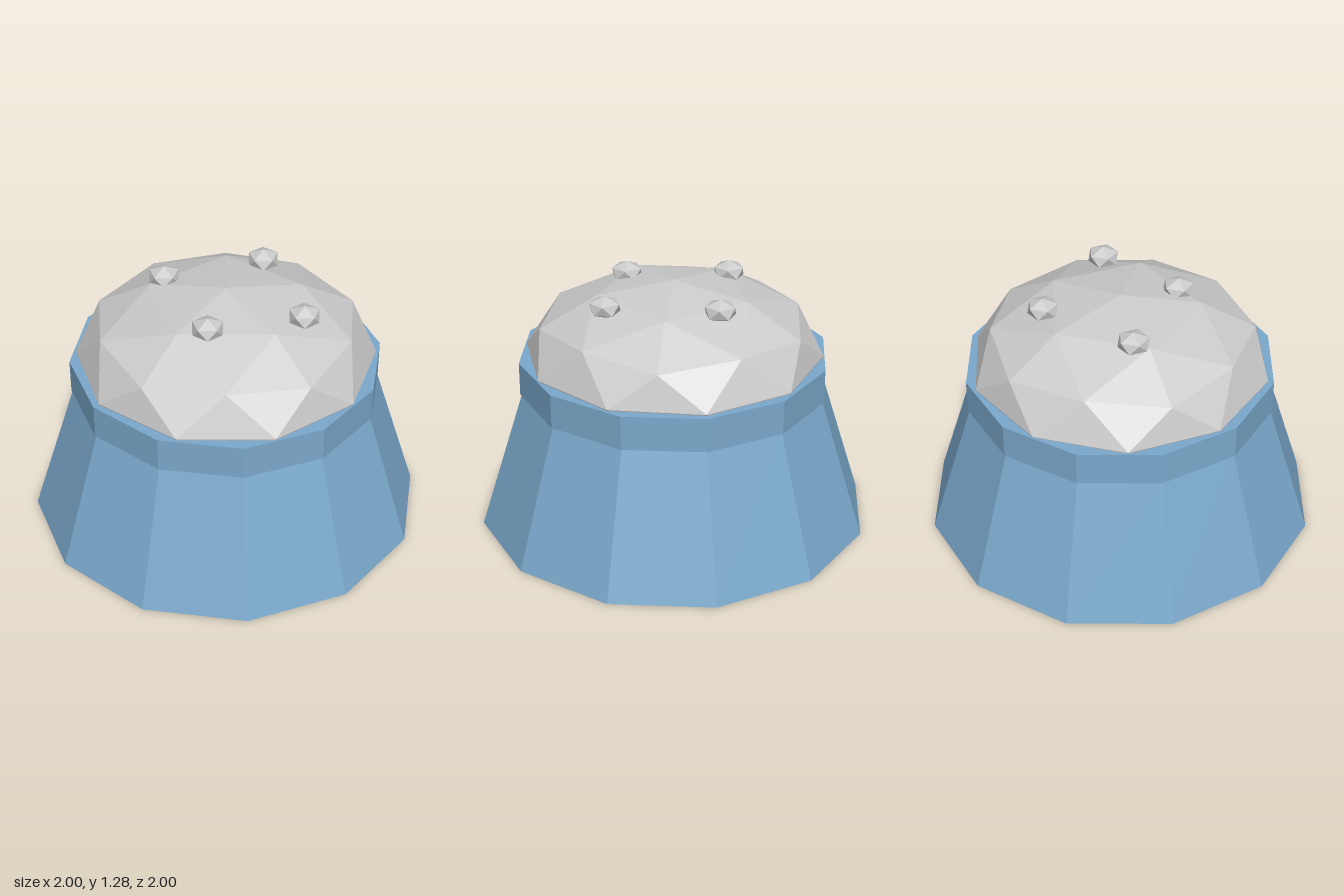
import * as THREE from 'three';

const blue = new THREE.MeshStandardMaterial({ color: 0x7ba9cc, flatShading: true });
const grey = new THREE.MeshStandardMaterial({ color: 0xcccccc, flatShading: true });

// Icosphere with a vertex at each pole, flattened along y
function icosphere(radius, height, detail) {
  const verts = [0, 1, 0];
  const ring = (y, offset) => {
    for (let i = 0; i < 5; i++) {
      const a = offset + (i * Math.PI * 2) / 5;
      verts.push(Math.cos(a) * 0.8944, y, Math.sin(a) * 0.8944);
    }
  };
  ring(0.4472, 0);
  ring(-0.4472, Math.PI / 5);
  verts.push(0, -1, 0);

  const faces = [];
  for (let i = 0; i < 5; i++) {
    const j = (i + 1) % 5;
    const u = 1 + i, un = 1 + j, l = 6 + i, ln = 6 + j;
    faces.push(0, un, u, u, un, l, l, un, ln, 11, l, ln);
  }
  const geo = new THREE.PolyhedronGeometry(verts, faces, 1, detail);
  geo.scale(radius, height, radius);
  geo.computeVertexNormals();
  return geo;
}

export function createModel() {
  const group = new THREE.Group();
  const add = (name, geo, mat, x, y, z) => {
    const mesh = new THREE.Mesh(geo, mat);
    mesh.name = name;
    mesh.position.set(x, y, z);
    group.add(mesh);
  };

  // Tapered twelve-sided base and its collar
  add('base', new THREE.CylinderGeometry(0.77, 1, 0.72, 12), blue, 0, 0.36, 0);
  add('collar', new THREE.CylinderGeometry(0.78, 0.78, 0.172, 12), blue, 0, 0.799, 0);

  // Flattened faceted dome
  add('dome', icosphere(0.75, 0.375, 1), grey, 0, 0.891, 0);

  // Small studs on top of the dome
  const stud = icosphere(0.085, 0.055, 0);
  const spots = [[-0.155, -0.345], [0.375, -0.19], [-0.315, 0.15], [0.19, 0.245]];
  spots.forEach(([x, z], i) => add('stud' + (i + 1), stud, grey, x, 1.23, z));

  return group;
}
